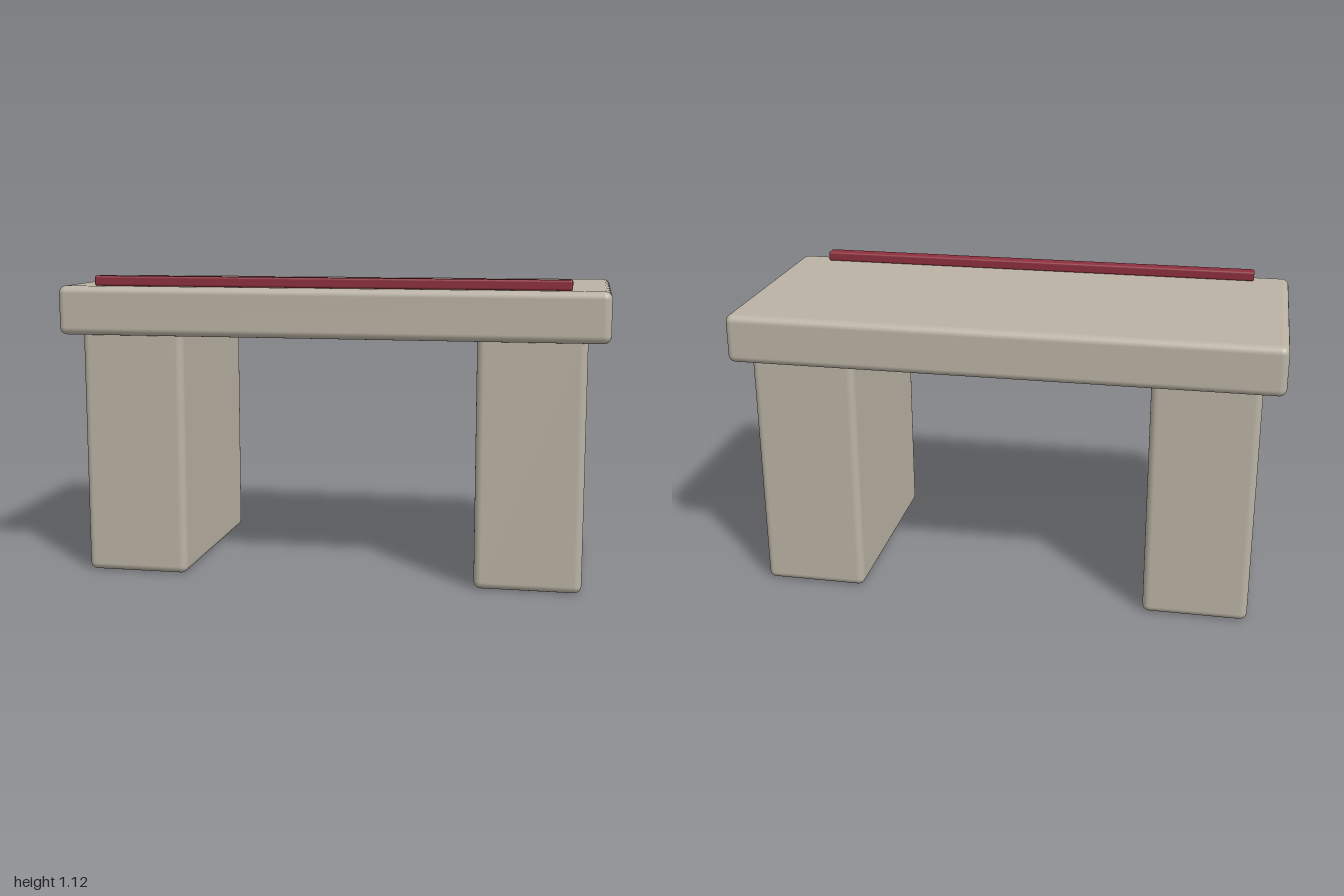
import * as THREE from 'three';
import { RoundedBoxGeometry } from 'three/addons/geometries/RoundedBoxGeometry.js';

const stone = new THREE.MeshStandardMaterial({ color: 0xbab2a4 });
const red = new THREE.MeshStandardMaterial({ color: 0x8c2f3c });

// Rounded block given by its centre in x and z, and its bottom and top heights
function block(name, material, x, z, width, depth, bottom, top, radius) {
  const geometry = new RoundedBoxGeometry(width, top - bottom, depth, 4, radius);
  const mesh = new THREE.Mesh(geometry, material);
  mesh.name = name;
  mesh.position.set(x, (bottom + top) / 2, z);
  return mesh;
}

export function createModel() {
  const model = new THREE.Group();
  model.name = 'stoneBench';

  // Seat slab
  model.add(block('seatSlab', stone, 0, 0, 2, 0.88, 0.898, 1.078, 0.027));

  // Two block legs, their tops set into the slab
  for (const side of [1, -1]) {
    const name = side > 0 ? 'leftLeg' : 'rightLeg';
    model.add(block(name, stone, side * 0.73, 0, 0.385, 0.805, 0, 0.925, 0.027));
  }

  // Narrow strip along the front edge of the seat
  model.add(block('frontStrip', red, 0, 0.384, 1.73, 0.052, 1.078, 1.115, 0.008));

  return model;
}
